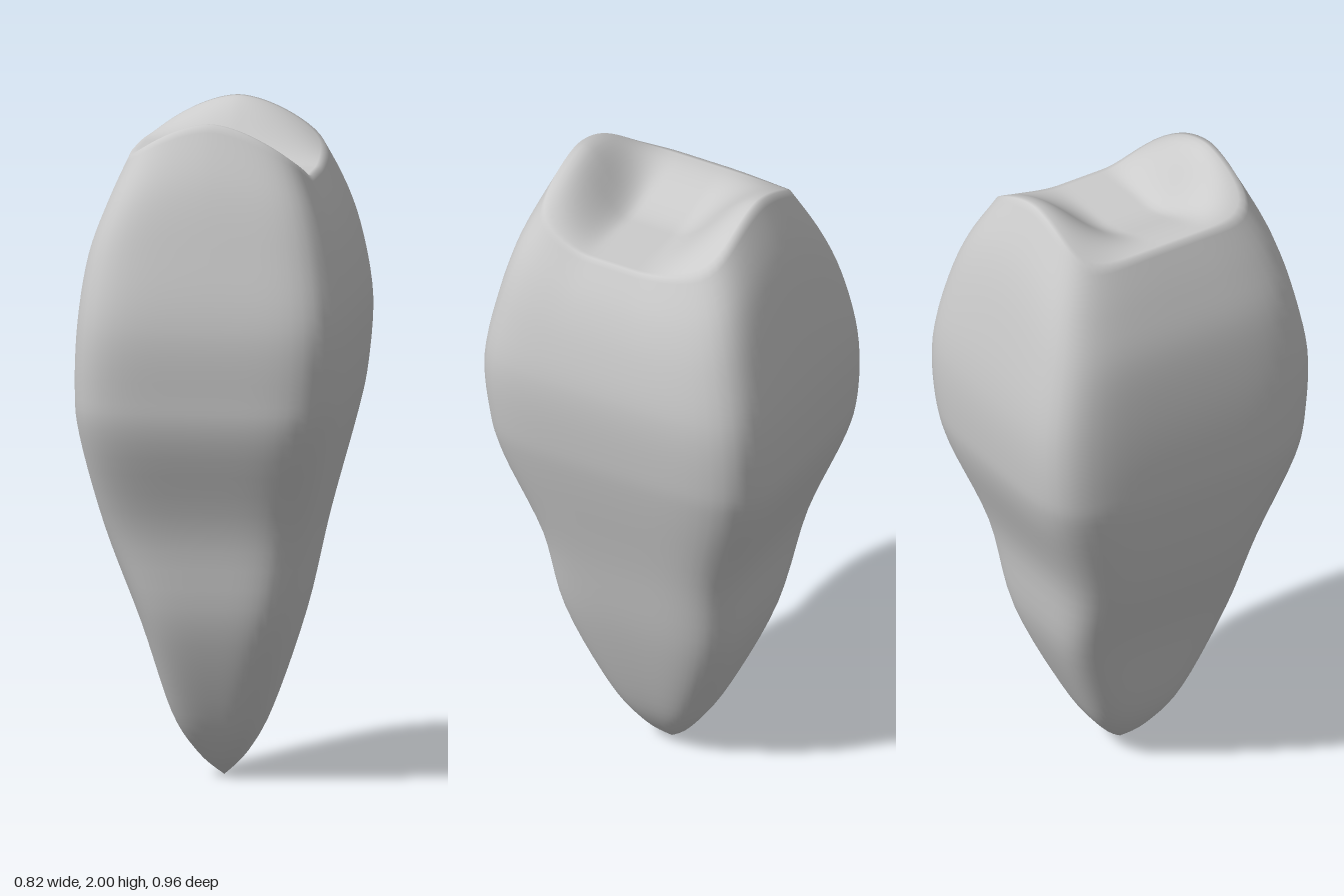
import * as THREE from 'three';

// Cross-sections from root tip to crown rim: [y, -x, +x, +z, -z, squareness]
const SECTIONS = [
  [0, 0, 0, 0, 0, 3],
  [0.07, 0.075, 0.07, 0.085, 0.08, 3],
  [0.2, 0.15, 0.14, 0.175, 0.165, 3.5],
  [0.48, 0.23, 0.23, 0.287, 0.287, 4.5],
  [0.77, 0.335, 0.295, 0.335, 0.34, 5],
  [1.05, 0.4, 0.365, 0.44, 0.445, 5.5],
  [1.2, 0.41, 0.393, 0.465, 0.473, 6],
  [1.4, 0.4, 0.407, 0.477, 0.474, 6],
  [1.6, 0.37, 0.382, 0.44, 0.432, 6],
  [1.76, 0.315, 0.34, 0.395, 0.378, 6],
  [1.9, 0.255, 0.28, 0.325, 0.302, 6],
];
const SEG = 96, WALL = 50, CAP = 20, SHOULDER = 1.4, RIM = 1.9;

const columns = [1, 2, 3, 4, 5].map(c =>
  new THREE.SplineCurve(SECTIONS.map(r => new THREE.Vector2(r[0], r[c]))));
const step = (x, a, b) => THREE.MathUtils.smoothstep(x, a, b);

// Height of the biting surface: front and back ridges around a shallow basin
function biteHeight(x, z) {
  const ridge = 1.995 - 0.125 * Math.pow(Math.abs(x) / 0.27, 1.7);
  const basin = 1.82 + 0.07 * step(-x, -0.05, 0.23);
  const k = z > 0 ? step(z, 0.12, 0.31) : step(-z, 0.03, 0.3);
  return THREE.MathUtils.lerp(basin, ridge, k);
}

// Point on a rounded-rectangle section, t along the spline, i around
function sectionPoint(t, i) {
  const pts = columns.map(c => c.getPoint(t));
  const [xl, xr, zf, zb, n] = pts.map(p => p.y);
  const a = (i / SEG) * Math.PI * 2;
  const c = Math.cos(a), s = Math.sin(a);
  const r = Math.pow(Math.abs(c) ** n + Math.abs(s) ** n, -1 / n);
  const x = c * r * (c > 0 ? xr : xl);
  const z = s * r * (s > 0 ? zf : zb);
  return new THREE.Vector3(x, pts[0].x, z);
}

function toothGeometry() {
  const pos = [0, 0, 0], index = [];
  const rim = [];
  for (let i = 0; i < SEG; i++) rim.push(sectionPoint(1, i));

  // Root and crown walls, stretched above the shoulder to meet the rim
  for (let j = 1; j <= WALL; j++) {
    for (let i = 0; i < SEG; i++) {
      const p = sectionPoint(j / WALL, i);
      if (p.y > SHOULDER) {
        const top = biteHeight(rim[i].x, rim[i].z);
        p.y = SHOULDER + (p.y - SHOULDER) * (top - SHOULDER) / (RIM - SHOULDER);
      }
      pos.push(p.x, p.y, p.z);
    }
  }
  // Biting surface, shrinking rings towards the middle
  for (let j = 1; j < CAP; j++) {
    for (let i = 0; i < SEG; i++) {
      const k = 1 - j / CAP, x = rim[i].x * k, z = rim[i].z * k;
      pos.push(x, biteHeight(x, z), z);
    }
  }
  pos.push(0, biteHeight(0, 0), 0);

  const rings = WALL + CAP - 1, last = pos.length / 3 - 1;
  const id = (j, i) => 1 + j * SEG + (i % SEG);
  for (let i = 0; i < SEG; i++) {
    index.push(0, id(0, i), id(0, i + 1));
    for (let j = 0; j < rings - 1; j++) {
      const a = id(j, i), b = id(j, i + 1), c = id(j + 1, i + 1), d = id(j + 1, i);
      index.push(a, d, c, a, c, b);
    }
    index.push(id(rings - 1, i), last, id(rings - 1, i + 1));
  }
  const g = new THREE.BufferGeometry();
  g.setAttribute('position', new THREE.Float32BufferAttribute(pos, 3));
  g.setIndex(index);
  g.computeVertexNormals();
  return g;
}

export function createModel() {
  const group = new THREE.Group();
  group.name = 'tooth';
  const mesh = new THREE.Mesh(toothGeometry(),
    new THREE.MeshStandardMaterial({ color: 0xcccccc }));
  mesh.name = 'crownAndRoot';
  group.add(mesh);
  return group;
}
